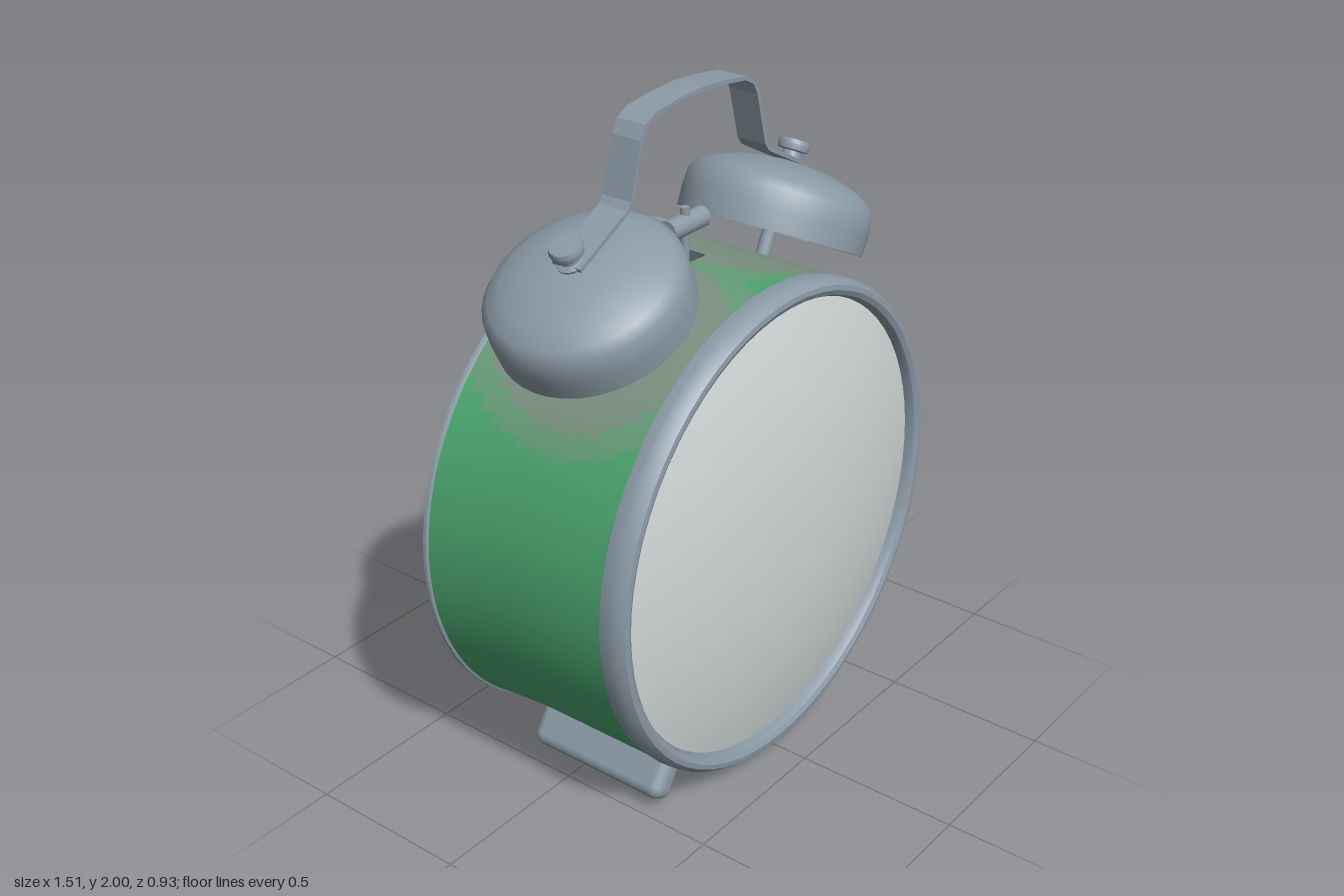
import * as THREE from 'three';
import { toCreasedNormals } from 'three/addons/utils/BufferGeometryUtils.js';
import { RoundedBoxGeometry } from 'three/addons/geometries/RoundedBoxGeometry.js';

const CY = 0.757; // height of the clock's axis

function material(name, color) {
  const m = new THREE.MeshStandardMaterial({ color });
  m.name = name;
  return m;
}

function add(parent, name, geometry, mat, x = 0, y = 0, z = 0) {
  const mesh = new THREE.Mesh(geometry, mat);
  mesh.name = name;
  mesh.position.set(x, y, z);
  parent.add(mesh);
  return mesh;
}

// Turned part from [radius, height] pairs, standing along y
function turned(profile, segments = 64, crease = 0.6) {
  const points = profile.map(([r, h]) => new THREE.Vector2(r, h));
  return toCreasedNormals(new THREE.LatheGeometry(points, segments), crease);
}

// Turned part lying along z
const turnedZ = (profile, segments) => turned(profile, segments).rotateX(Math.PI / 2);

// Keeps only the triangles whose centre passes the test
function pick(geometry, test) {
  const p = geometry.attributes.position, n = geometry.attributes.normal;
  const pos = [], nor = [], c = new THREE.Vector3(), v = new THREE.Vector3();
  for (let i = 0; i < p.count; i += 3) {
    c.set(0, 0, 0);
    for (let k = 0; k < 3; k++) c.addScaledVector(v.fromBufferAttribute(p, i + k), 1 / 3);
    if (!test(c)) continue;
    for (let k = i; k < i + 3; k++) {
      pos.push(p.getX(k), p.getY(k), p.getZ(k));
      nor.push(n.getX(k), n.getY(k), n.getZ(k));
    }
  }
  const g = new THREE.BufferGeometry();
  g.setAttribute('position', new THREE.Float32BufferAttribute(pos, 3));
  g.setAttribute('normal', new THREE.Float32BufferAttribute(nor, 3));
  return g;
}

// Flat strip following a path in the xy plane
function strip(path, thickness, depth) {
  const outer = [], inner = [];
  path.forEach((p, i) => {
    const a = path[Math.max(i - 1, 0)], b = path[Math.min(i + 1, path.length - 1)];
    const t = b.clone().sub(a).normalize();
    const n = new THREE.Vector2(-t.y, t.x).multiplyScalar(thickness / 2);
    outer.push(p.clone().add(n));
    inner.unshift(p.clone().sub(n));
  });
  return new THREE.ExtrudeGeometry(new THREE.Shape([...outer, ...inner]), { depth, bevelEnabled: false });
}

export function createModel() {
  const metal = material('steel grey', 0x8b9aa6);
  const green = material('case green', 0x4ba56e);
  const blend = material('worn green', 0x659c78);
  const worn = material('worn grey green', 0x7b9180);
  const glass = material('pale glass', 0xcfd7d6);
  const dark = material('slot grey', 0x4c565c);
  const model = new THREE.Group();
  model.name = 'alarmClock';

  // Drum case, slightly flared at the back, with worn paint around the bell posts
  const drum = [];
  for (let i = 0; i <= 24; i++) {
    const z = -0.27 + 0.61 * i / 24;
    drum.push([0.733 + 0.014 * Math.max(0, (0.0 - z) / 0.27) ** 2, z]);
  }
  const shell = turnedZ(drum, 128);
  const wear = (c) => Math.hypot((Math.abs(Math.atan2(c.x, c.y)) - 0.47) * 0.74, c.z - 0.04);
  add(model, 'caseSide', pick(shell, (c) => wear(c) >= 0.4), green, 0, CY);
  add(model, 'caseWearEdge', pick(shell, (c) => wear(c) >= 0.33 && wear(c) < 0.4), blend, 0, CY);
  add(model, 'caseWear', pick(shell, (c) => wear(c) < 0.33), worn, 0, CY);

  // Recessed back plate and rear lip
  add(model, 'backPlate', turnedZ([[0, -0.23], [0.3, -0.23], [0.65, -0.23]]), green, 0, CY);
  add(model, 'backLip', turnedZ([
    [0.64, -0.23], [0.725, -0.285], [0.742, -0.292], [0.755, -0.284], [0.754, -0.275], [0.742, -0.268],
  ]), metal, 0, CY);

  // Front ring and domed glass
  add(model, 'frontRing', turnedZ([
    [0.72, 0.33], [0.735, 0.332], [0.738, 0.36], [0.734, 0.39], [0.72, 0.408], [0.705, 0.41], [0.69, 0.402], [0.682, 0.385], [0.68, 0.34],
  ]), metal, 0, CY);
  const dome = [];
  for (let i = 10; i >= 0; i--) dome.push([0.69 * i / 10, 0.462 - 0.09 * (i / 10) ** 2.2]);
  add(model, 'glass', turnedZ(dome), glass, 0, CY);

  // Hollow bell on a post, topped by a screw cap
  const bellShape = turned([
    [0, 0.18], [0.15, 0.165], [0.245, 0.115], [0.268, 0], [0.28, 0], [0.282, 0.06], [0.278, 0.12],
    [0.255, 0.148], [0.21, 0.174], [0.14, 0.196], [0.07, 0.207], [0, 0.21],
  ], 40, 0.7);
  const capShape = turned([
    [0.04, 0.2], [0.044, 0.215], [0.03, 0.222], [0.026, 0.24], [0.045, 0.243], [0.048, 0.26], [0.043, 0.273], [0, 0.276],
  ], 20);
  for (const s of [-1, 1]) {
    const bell = new THREE.Group();
    bell.name = s > 0 ? 'leftBell' : 'rightBell';
    bell.position.set(s * 0.39, 1.46, 0.05);
    bell.rotation.z = -s * 0.459;
    add(bell, 'bellCup', bellShape, metal);
    add(bell, 'bellPost', new THREE.CylinderGeometry(0.022, 0.022, 0.3, 16), metal, 0, 0.04);
    add(bell, 'bellCap', capShape, metal);
    model.add(bell);
  }

  // Carrying handle
  const half = [[0.505, 1.642], [0.315, 1.742], [0.297, 1.765], [0.285, 1.81], [0.255, 1.92], [0.235, 1.955], [0.195, 1.976], [0.1, 1.988]];
  const path = [
    ...half.map(([x, y]) => new THREE.Vector2(-x, y)),
    new THREE.Vector2(0, 1.994),
    ...half.map(([x, y]) => new THREE.Vector2(x, y)).reverse(),
  ];
  add(model, 'handle', strip(path, 0.012, 0.096), metal, 0, 0, 0.002);

  // Hammer rising from its slot
  add(model, 'hammerSlot', new THREE.BoxGeometry(0.14, 0.008, 0.05), dark, 0, 1.488, 0.03);
  add(model, 'hammerStem', new THREE.CylinderGeometry(0.014, 0.014, 0.2, 12), metal, 0, 1.55, 0.04);
  add(model, 'hammerHead', new THREE.CylinderGeometry(0.031, 0.031, 0.155, 16).rotateZ(Math.PI / 2), metal, 0, 1.6, 0.04);

  // Legs pointing outward from the drum
  for (const s of [-1, 1]) {
    const a = 0.565, r = 0.77;
    const leg = add(model, s > 0 ? 'leftLeg' : 'rightLeg', new RoundedBoxGeometry(0.085, 0.17, 0.48, 4, 0.035), metal,
      s * r * Math.sin(a), CY - r * Math.cos(a), 0.08);
    leg.rotation.z = s * a;
  }

  // Butterfly winding keys: wing outline is x across, y outward from the back
  const wing = new THREE.Shape();
  wing.moveTo(0, 0.335);
  wing.bezierCurveTo(0.05, 0.325, 0.12, 0.33, 0.155, 0.375);
  wing.bezierCurveTo(0.175, 0.41, 0.165, 0.465, 0.125, 0.463);
  wing.bezierCurveTo(0.08, 0.46, 0.05, 0.41, 0, 0.405);
  wing.bezierCurveTo(-0.05, 0.41, -0.08, 0.46, -0.125, 0.463);
  wing.bezierCurveTo(-0.165, 0.465, -0.175, 0.41, -0.155, 0.375);
  wing.bezierCurveTo(-0.12, 0.33, -0.05, 0.325, 0, 0.335);
  const wingShape = toCreasedNormals(new THREE.ExtrudeGeometry(wing, {
    depth: 0.016, bevelThickness: 0.008, bevelSize: 0.006, bevelOffset: -0.006, bevelSegments: 2, curveSegments: 8,
  }).translate(0, 0, -0.008).rotateX(-Math.PI / 2), 0.7);
  const stemShape = new THREE.CylinderGeometry(0.03, 0.03, 0.19, 16).rotateX(Math.PI / 2);
  for (const [s, turn] of [[-1, Math.PI / 4], [1, Math.PI / 2 + 0.29]]) {
    const key = new THREE.Group();
    key.name = s > 0 ? 'leftKey' : 'rightKey';
    key.position.set(s * 0.3, 0.61, 0);
    key.rotation.z = turn;
    add(key, 'keyWings', wingShape, metal);
    add(key, 'keyStem', stemShape, metal, 0, 0, -0.32);
    model.add(key);

    // Setting knob above each key
    const knob = add(model, 'settingKnob', new THREE.SphereGeometry(0.055, 20, 14), metal, s * 0.255, 0.98, -0.24);
    knob.scale.z = 1.05;
  }

  return model;
}
